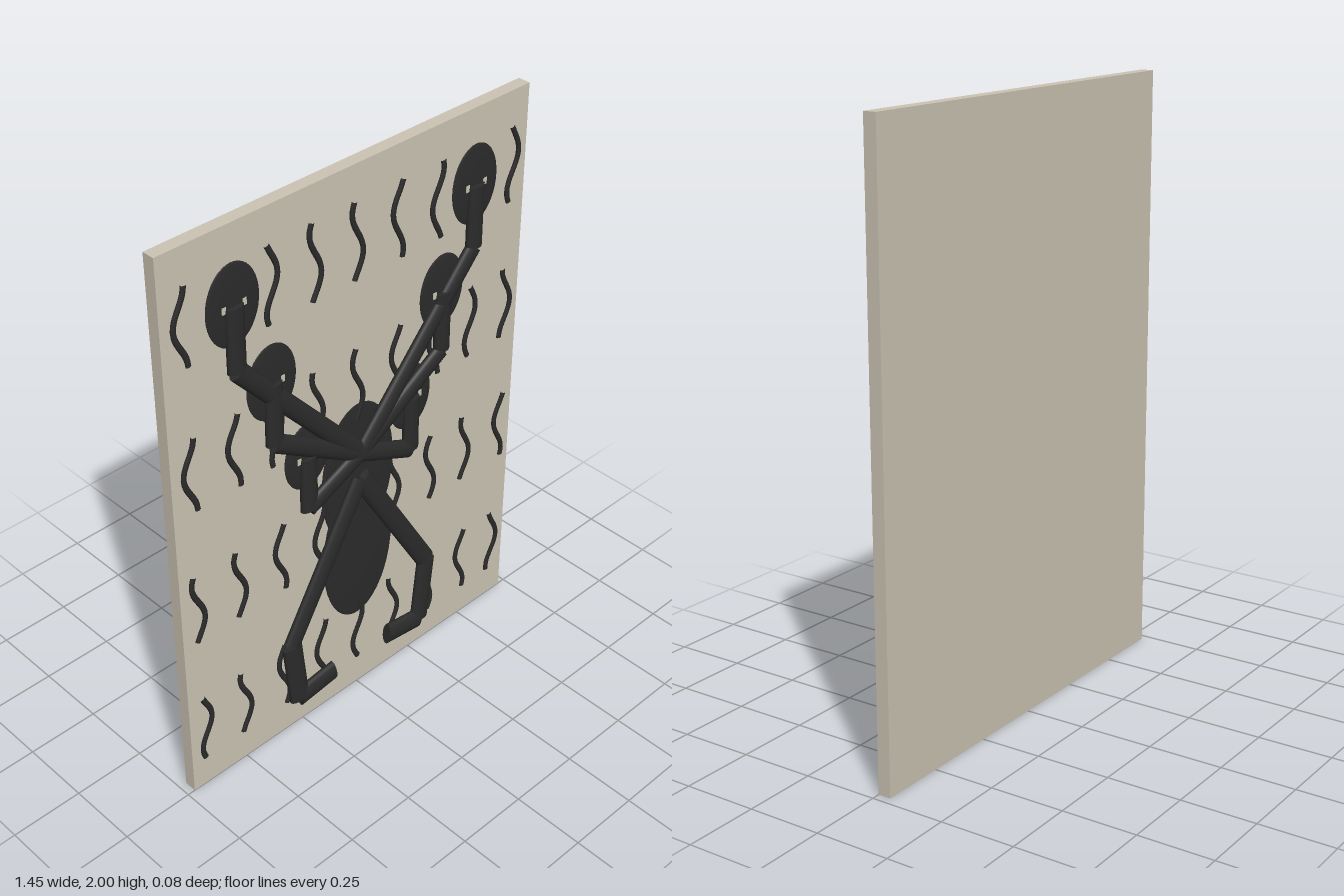
import * as THREE from 'three';

export function createModel() {
  const group = new THREE.Group();
  const stone = new THREE.MeshStandardMaterial({ color: 0xcdc5b5 });
  stone.name = 'pale stone';
  const ink = new THREE.MeshStandardMaterial({ color: 0x2b2b2b });
  ink.name = 'charcoal';

  const add = (name, geometry, material, x, y, z) => {
    const mesh = new THREE.Mesh(geometry, material);
    mesh.name = name;
    mesh.position.set(x, y, z);
    group.add(mesh);
    return mesh;
  };

  // Flattened ellipsoid lying against the panel
  const oval = (name, x, y, z, rx, ry, rz) =>
    add(name, new THREE.SphereGeometry(1, 32, 20).scale(rx, ry, rz), ink, x, y, z);

  // Flattened rod between two points
  const rod = (name, [x1, y1], [x2, y2], r) => {
    const dx = x2 - x1, dy = y2 - y1;
    const geometry = new THREE.CylinderGeometry(r, r, Math.hypot(dx, dy), 16).scale(1, 1, 0.018 / r);
    const mesh = add(name, geometry, ink, (x1 + x2) / 2, (y1 + y2) / 2, 0.021);
    mesh.rotation.z = Math.atan2(-dx, dy);
  };

  // Backing panel
  add('panel', new THREE.BoxGeometry(1.445, 2, 0.043), stone, 0, 1, -0.0215);

  // Body
  oval('thorax', 0, 0.91, 0.007, 0.155, 0.27, 0.006);
  oval('abdomen', 0, 0.61, 0.007, 0.152, 0.285, 0.006);

  // Three pairs of arms, each ending in an oval hand: wrist x, hand y, elbow y, hand radii
  const arms = [
    [0.48, 1.755, 1.54, 0.097, 0.135],
    [0.35, 1.435, 1.22, 0.095, 0.13],
    [0.22, 1.1, 0.9, 0.09, 0.12],
  ];
  for (const s of [-1, 1]) {
    for (const [x, y, elbow, rx, ry] of arms) {
      oval('hand', s * x, y, 0.014, rx, ry, 0.008);
      rod('forearm', [s * x, y], [s * x, elbow], 0.033);
      rod('upperArm', [s * x, elbow], [0, 1.0], 0.032);
      // Small pale gaps beside the wrist
      for (const side of [-1, 1]) {
        add('handGap', new THREE.BoxGeometry(0.014, 0.022, 0.004), stone, s * x + side * 0.037, y, 0.0215);
      }
    }
    // Legs
    rod('thigh', [0, 0.9], [s * 0.307, 0.38], 0.036);
    rod('shin', [s * 0.307, 0.38], [s * 0.28, 0.13], 0.039);
    rod('foot', [s * 0.28, 0.13], [s * 0.125, 0.15], 0.041);
  }

  // Wavy marks: height of each right-hand crest, as a fraction from the top
  const crests = [
    [0.35, 0.6, 0.8, 0.0, 0.25, 0.55, 0.8, 0.9, 0.45],
    [0.65, 0.65, 0.9, 0.1, 0.3, 0.5, 0.75, 0.6, 0.9],
    [0.0, 0.95, 0.4, 0.6, 0.7, 0.9, 0.0, 0.3, 0.5],
    [0.0, 0.2, 0.38, 0.65, 0.65, 0.9, 0.1, 0.3, 0.35],
  ];
  crests.forEach((row, j) => row.forEach((crest, i) => {
    const points = [];
    for (let k = 0; k <= 10; k++) {
      const t = k / 10;
      points.push(new THREE.Vector3(0.022 * Math.cos((t - crest) * Math.PI * 2), 0.13 - 0.26 * t, 0));
    }
    const curve = new THREE.CatmullRomCurve3(points);
    const geometry = new THREE.TubeGeometry(curve, 20, 0.01, 8).scale(1, 1, 0.6);
    add('waveMark', geometry, ink, (i - 4) * 0.165, 0.255 + j * 0.5, 0.007);
  }));

  return group;
}
